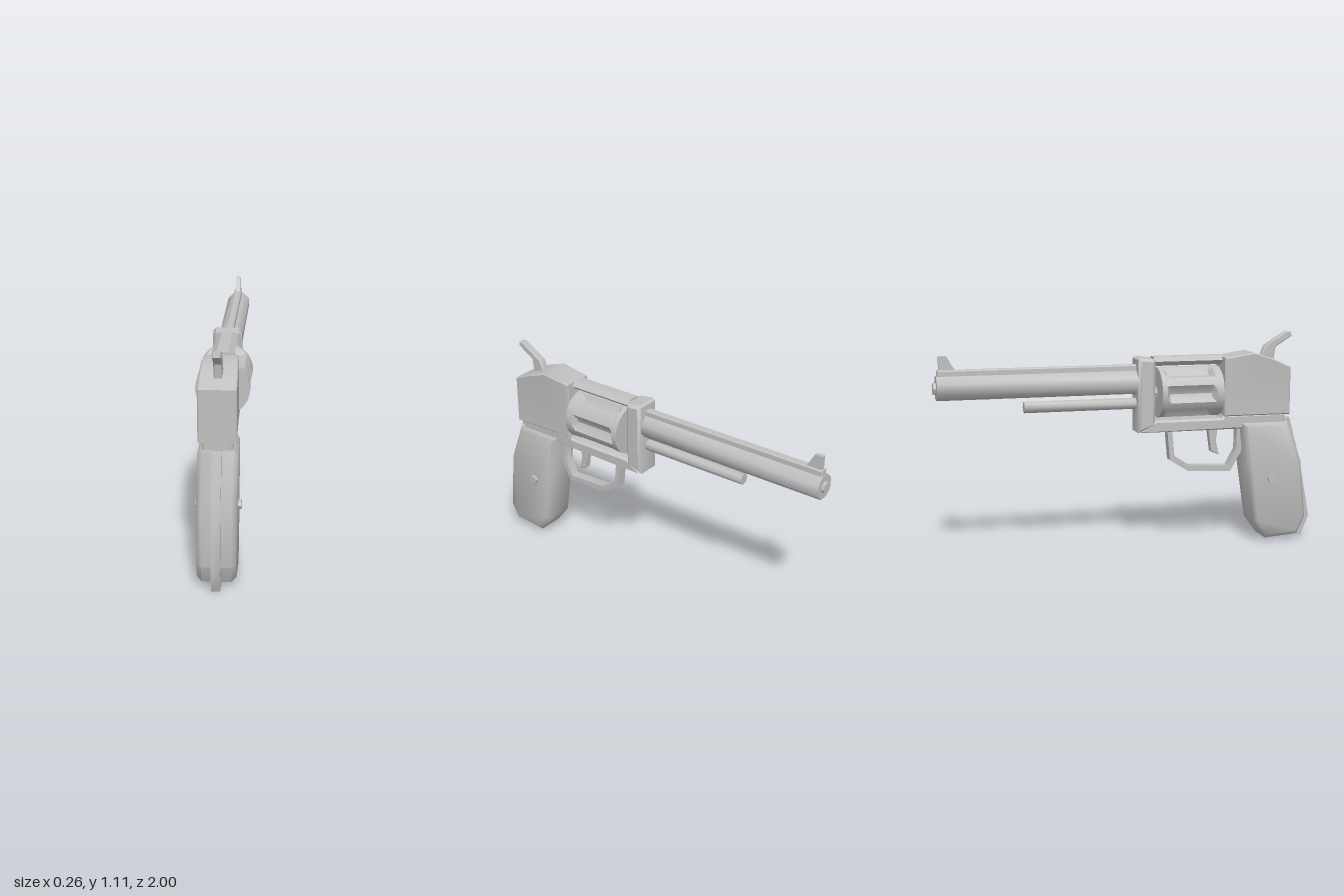
import * as THREE from 'three';
import { toCreasedNormals } from 'three/addons/utils/BufferGeometryUtils.js';

export function createModel() {
  const model = new THREE.Group();
  const steel = new THREE.MeshStandardMaterial({ color: 0xc0c0c0 });
  steel.name = 'grey steel';

  const add = (name, geometry, crease = 0.7) => {
    const mesh = new THREE.Mesh(toCreasedNormals(geometry, crease), steel);
    mesh.name = name;
    model.add(mesh);
    return mesh;
  };

  // Side profile of [z, y] points, extruded to +-half in x
  const slab = (points, half, bevel = 0) => {
    const shape = new THREE.Shape(points.map(([z, y]) => new THREE.Vector2(-z, y)));
    const depth = 2 * (half - bevel);
    const g = new THREE.ExtrudeGeometry(shape, {
      depth, bevelEnabled: bevel > 0, bevelThickness: bevel,
      bevelSize: bevel, bevelOffset: -bevel, bevelSegments: 1,
    });
    g.translate(0, 0, -depth / 2);
    return g.rotateY(Math.PI / 2);
  };

  // Round or faceted bar running along z
  const rod = (r, z0, z1, y, sides = 8, turn = 0) => new THREE.CylinderGeometry(r, r, Math.abs(z1 - z0), sides)
    .rotateY(turn).rotateX(Math.PI / 2).translate(0, y, (z0 + z1) / 2);

  // Rear frame, slightly narrower toward the cylinder
  const rear = slab([[0.85, 0.68], [0.85, 0.93], [0.76, 0.97], [0.65, 1.008], [0.49, 0.985], [0.49, 0.68]], 0.088, 0.006);
  const rp = rear.attributes.position;
  for (let i = 0; i < rp.count; i++) {
    rp.setX(i, rp.getX(i) * (0.9 + 0.1 * Math.min(1, (rp.getZ(i) - 0.49) / 0.25)));
  }
  add('rearFrame', rear);

  // Lower strap, front post and top strap surround the cylinder
  add('lowerFrame', slab([[0.83, 0.61], [0.83, 0.685], [0.49, 0.685], [0.48, 0.67], [0.12, 0.67], [0.03, 0.61]], 0.07, 0.01));
  add('frontPost', slab([[0.12, 0.64], [0.03, 0.61], [0.03, 0.985], [0.045, 0.995], [0.12, 0.985]], 0.072, 0.015));
  add('topStrap', rod(1, 0.12, 0.485, 0, 6, Math.PI / 6).scale(0.052, 0.027, 1).translate(0, 0.972, 0));

  // Cylinder with six flutes sunk between the two plain rims
  const drum = new THREE.CylinderGeometry(0.13, 0.13, 1, 36, 5).rotateX(Math.PI / 2);
  const stations = [0.14, 0.165, 0.185, 0.41, 0.43, 0.47];
  const dp = drum.attributes.position;
  for (let i = 0; i < dp.count; i++) {
    const x = dp.getX(i), y = dp.getY(i);
    const ring = Math.round((dp.getZ(i) + 0.5) * 5);
    const k = (Math.round(Math.atan2(y, x) / (Math.PI / 18)) + 36) % 6;
    const sunk = ring === 2 || ring === 3;
    const s = !sunk ? 1 : k === 0 ? 0.76 : k === 1 || k === 5 ? 0.82 : 1;
    dp.setXYZ(i, x * s, y * s + 0.81, stations[ring]);
  }
  add('cylinder', drum, 0.5);
  add('cylinderPin', rod(0.03, 0.1, 0.5, 0.81));

  // Barrel, muzzle, top rib and ejector rod
  add('barrel', rod(0.064, 0.05, -0.985, 0.868, 8, Math.PI / 8), 0.9);
  add('muzzle', rod(0.03, -0.97, -1, 0.868));
  add('barrelRib', slab([[0.04, 0.91], [0.04, 0.957], [-0.98, 0.957], [-0.98, 0.91]], 0.02, 0.006));
  add('ejectorRod', rod(0.029, 0.05, -0.55, 0.757), 0.9);
  add('frontSight', slab([[-0.885, 0.95], [-0.905, 0.98], [-0.93, 1.025], [-0.97, 1.025], [-0.97, 0.95]], 0.011));

  // Hammer
  add('hammer', slab([[0.705, 0.965], [0.73, 1.035], [0.85, 1.11], [0.875, 1.108], [0.88, 1.085], [0.79, 1.03], [0.78, 0.96]], 0.02, 0.005));

  // Trigger and its guard
  add('trigger', slab([[0.475, 0.62], [0.465, 0.54], [0.482, 0.47], [0.438, 0.488], [0.42, 0.62]], 0.02, 0.005));
  add('triggerGuard', slab([
    [0.605, 0.62], [0.605, 0.485], [0.545, 0.38], [0.31, 0.39], [0.21, 0.455], [0.195, 0.62],
    [0.222, 0.62], [0.235, 0.475], [0.32, 0.42], [0.53, 0.41], [0.578, 0.495], [0.578, 0.62],
  ], 0.025));

  // Grip, backstrap and screw
  add('grip', slab([
    [0.845, 0.64], [0.59, 0.64], [0.615, 0.42], [0.66, 0.11], [0.73, 0.015], [0.91, 0.027], [0.955, 0.12], [0.925, 0.42],
  ], 0.091, 0.022), 0.9);
  add('backstrap', slab([
    [0.875, 0.655], [0.94, 0.42], [1, 0.11], [0.955, 0], [0.925, 0.02], [0.97, 0.115], [0.915, 0.42], [0.845, 0.645],
  ], 0.021));
  add('gripScrew', new THREE.CylinderGeometry(0.023, 0.023, 0.212, 6).rotateZ(Math.PI / 2).translate(0, 0.345, 0.75));

  return model;
}
